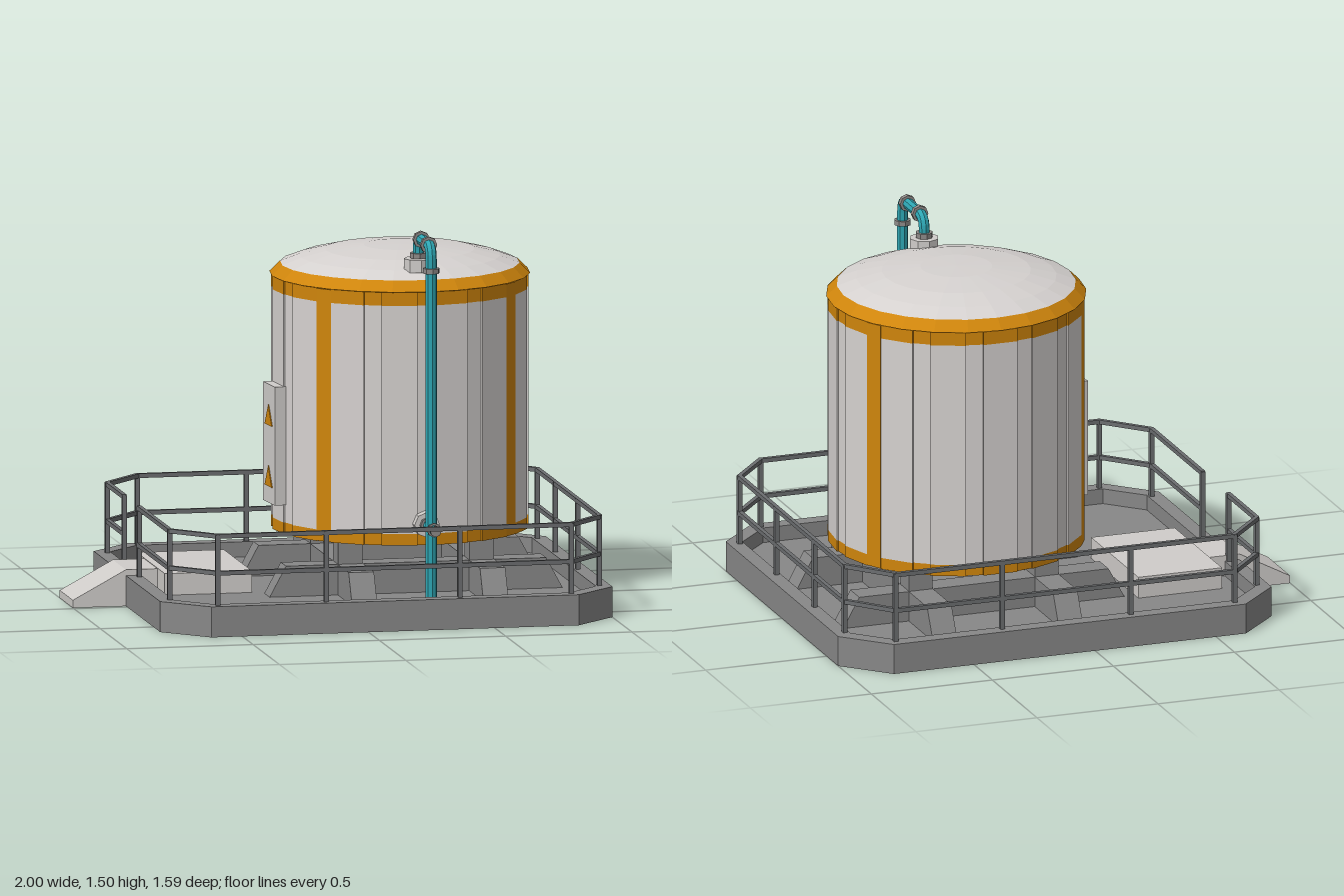
import * as THREE from 'three';

const mat = (name, color, side = THREE.FrontSide) => {
  const m = new THREE.MeshStandardMaterial({ color, side, flatShading: true });
  m.name = name;
  return m;
};

export function createModel() {
  const root = new THREE.Group();
  root.name = 'storageTank';
  const concrete = mat('concreteGrey', 0x888888, THREE.DoubleSide);
  const railGrey = mat('railGrey', 0x6c6e70);
  const panel = mat('panelWhite', 0xd6d2d0);
  const plate = mat('plateGrey', 0xd0cdca, THREE.DoubleSide);
  const orange = mat('trimOrange', 0xcf850c);
  const teal = mat('pipeTeal', 0x2ea5b2);
  const fitting = mat('fittingGrey', 0x8e8a88);

  const add = (name, geo, material, parent = root) => {
    const m = new THREE.Mesh(geo, material);
    m.name = name;
    parent.add(m);
    return m;
  };
  const group = (name, x = 0, z = 0) => {
    const g = new THREE.Group();
    g.name = name;
    g.position.set(x, 0, z);
    root.add(g);
    return g;
  };
  const toPoints = pts => pts.map(p => new THREE.Vector2(p[0], p[1]));
  const extrude = (pts, depth, hole) => {
    const shape = new THREE.Shape(toPoints(pts));
    if (hole) shape.holes.push(new THREE.Path(toPoints(hole)));
    return new THREE.ExtrudeGeometry(shape, { depth, bevelEnabled: false });
  };
  // Prism standing on a plan outline given as [x, z]
  const flip = pts => pts.map(([x, z]) => [x, -z]);
  const prism = (pts, y0, y1, hole) => extrude(flip(pts), y1 - y0, hole && flip(hole))
    .rotateX(-Math.PI / 2).translate(0, y0, 0);
  // Drop the faces lying on the ground, leaving a hollow shell
  const openBottom = geo => {
    const p = geo.attributes.position, out = [];
    for (let i = 0; i < p.count; i += 3) {
      if (Math.max(p.getY(i), p.getY(i + 1), p.getY(i + 2)) < 0.001) continue;
      for (let k = i; k < i + 3; k++) out.push(p.getX(k), p.getY(k), p.getZ(k));
    }
    const g = new THREE.BufferGeometry();
    g.setAttribute('position', new THREE.Float32BufferAttribute(out, 3));
    g.computeVertexNormals();
    return g;
  };

  // Hollow deck with cut corners: sunken floor inside a raised rim
  const floorY = 0.06;
  const octagon = inset => {
    const x0 = -0.79 + inset, x1 = 1 - inset, z = 0.797 - inset, c = 0.168 - inset * 0.586;
    return [[x0, c - z], [x0 + c, -z], [x1 - c, -z], [x1, c - z],
      [x1, z - c], [x1 - c, z], [x0 + c, z], [x0, z - c]];
  };
  add('deckFloor', openBottom(prism(octagon(0), 0, floorY)), concrete);
  add('deckRim', prism(octagon(0), floorY, 0.12, octagon(0.06)), concrete);

  // Access ramp and landing
  add('ramp', openBottom(extrude([[-1, 0], [-1, 0.03], [-0.79, 0.143], [-0.66, 0.143],
    [-0.66, floorY], [-0.79, floorY], [-0.79, 0]], 0.25).translate(0, 0, -0.27)), plate);
  add('landing', new THREE.BoxGeometry(0.345, 0.145 - floorY, 0.53)
    .translate(-0.4925, (0.145 + floorY) / 2, -0.148), plate);

  // Railing, open at the ramp
  const rails = group('railing');
  const bar = (name, a, b, t) => {
    const m = add(name, new THREE.BoxGeometry(t, t, a.distanceTo(b) + t * 0.5), railGrey, rails);
    m.position.copy(a).lerp(b, 0.5);
    m.lookAt(b);
  };
  const path = [[-0.745, 0.02], [-0.745, 0.59], [-0.59, 0.757], [0.81, 0.757], [0.957, 0.59],
    [0.957, -0.585], [0.81, -0.757], [-0.59, -0.757], [-0.745, -0.585], [-0.745, -0.27]];
  path.slice(1).forEach(([x, z], i) => {
    for (const y of [0.245, 0.39]) {
      bar('rail', new THREE.Vector3(path[i][0], y, path[i][1]), new THREE.Vector3(x, y, z), 0.017);
    }
  });
  const midPosts = [[-0.16, 0.757], [0.37, 0.757], [-0.16, -0.757], [0.37, -0.757],
    [0.957, 0.18], [0.957, -0.25]];
  for (const [x, z] of [...path, ...midPosts]) {
    add('post', new THREE.BoxGeometry(0.018, 0.28, 0.018), railGrey, rails).position.set(x, 0.255, z);
  }

  // Crossed foundation beams and short legs
  const tank = group('tank', 0.303, -0.062);
  const beam = () => extrude([[-0.58, floorY], [0.58, floorY], [0.515, 0.18], [-0.515, 0.18]], 0.1)
    .translate(0, 0, -0.05);
  for (const s of [-1, 1]) {
    add('beam', beam(), concrete, tank).position.z = s * 0.26;
    const cross = add('beam', beam(), concrete, tank);
    cross.rotation.y = Math.PI / 2;
    cross.position.x = s * 0.26;
    for (const t of [-1, 1]) {
      add('leg', new THREE.BoxGeometry(0.097, 0.1, 0.097), concrete, tank)
        .position.set(s * 0.26, 0.228, t * 0.26);
    }
  }

  // Tank wall: fifteen wide panels with narrow recessed ribs between
  const step = Math.PI * 2 / 15, half = THREE.MathUtils.degToRad(4);
  const outline = [];
  for (let k = 0; k < 15; k++) {
    for (const [a, r] of [[-half, 0.5], [-half, 0.493], [half, 0.493], [half, 0.5]]) {
      outline.push([r * Math.sin(k * step + a), r * Math.cos(k * step + a)]);
    }
  }
  add('tankWall', prism(outline, 0.32, 1.215), panel, tank);
  add('bottomBand', prism(outline, 0.275, 0.32), orange, tank);
  add('topBand', prism(outline, 1.215, 1.268), orange, tank);
  for (const k of [-5, -2, 2, 5]) {
    const strip = add('orangeStrip', new THREE.BoxGeometry(0.069, 0.99, 0.009)
      .translate(0, 0.7715, 0.4945), orange, tank);
    strip.rotation.y = k * step;
  }

  // Roof rim and dome
  const lathe = (pts, n) => new THREE.LatheGeometry(toPoints(pts), n);
  add('roofRim', lathe([[0.48, 1.262], [0.506, 1.27], [0.465, 1.31]], 24), orange, tank);
  add('roofDome', lathe([[0.465, 1.31], [0.39, 1.338], [0.29, 1.362], [0.14, 1.378], [0, 1.38]], 24),
    panel, tank);

  // Cabinet with warning triangles
  const cabinet = new THREE.Group();
  cabinet.name = 'cabinet';
  cabinet.rotation.y = -3.5 * step;
  tank.add(cabinet);
  add('cabinetBox', new THREE.BoxGeometry(0.15, 0.465, 0.045).translate(0, 0.622, 0.51), plate, cabinet);
  for (const y of [0.73, 0.49]) {
    add('warningTriangle', extrude([[-0.045, -0.035], [0.045, -0.035], [0, 0.045]], 0.004)
      .translate(0, y, 0.532), orange, cabinet);
  }

  // Pipe rising from the floor and bending over to the roof
  const px = 0.3, pz = 0.547, v = (y, z) => new THREE.Vector3(px, y, z);
  const run = new THREE.CurvePath();
  run.add(new THREE.LineCurve3(v(floorY, pz), v(1.415, pz)));
  run.add(new THREE.QuadraticBezierCurve3(v(1.415, pz), v(1.463, pz), v(1.463, 0.5)));
  run.add(new THREE.LineCurve3(v(1.463, 0.5), v(1.463, 0.353)));
  run.add(new THREE.QuadraticBezierCurve3(v(1.463, 0.353), v(1.463, 0.305), v(1.415, 0.305)));
  run.add(new THREE.LineCurve3(v(1.415, 0.305), v(1.36, 0.305)));
  add('fillPipe', new THREE.TubeGeometry(run, 120, 0.022, 8), teal);

  // Round fittings, upright or lying along z
  const round = (name, material, r, len, y, z, lying = false) => {
    const m = add(name, new THREE.CylinderGeometry(r, r, len, 8), material);
    m.position.set(px, y, z);
    if (lying) m.rotation.x = Math.PI / 2;
  };
  round('collar', fitting, 0.033, 0.02, floorY + 0.012, pz);
  round('collar', fitting, 0.033, 0.02, 1.37, pz);
  round('collar', fitting, 0.033, 0.02, 1.463, 0.495, true);
  round('collar', fitting, 0.033, 0.02, 1.463, 0.357, true);
  round('collar', fitting, 0.034, 0.02, 1.393, 0.305);
  round('roofNozzle', plate, 0.058, 0.05, 1.356, 0.305);
  round('branchPipe', teal, 0.02, 0.17, 0.36, 0.55, true);
  round('branchCap', fitting, 0.022, 0.01, 0.36, 0.632, true);
  round('collar', fitting, 0.028, 0.012, 0.36, 0.6, true);
  round('collar', fitting, 0.03, 0.018, 0.36, 0.482, true);
  round('wallFlange', plate, 0.05, 0.05, 0.36, 0.448, true);

  return root;
}
